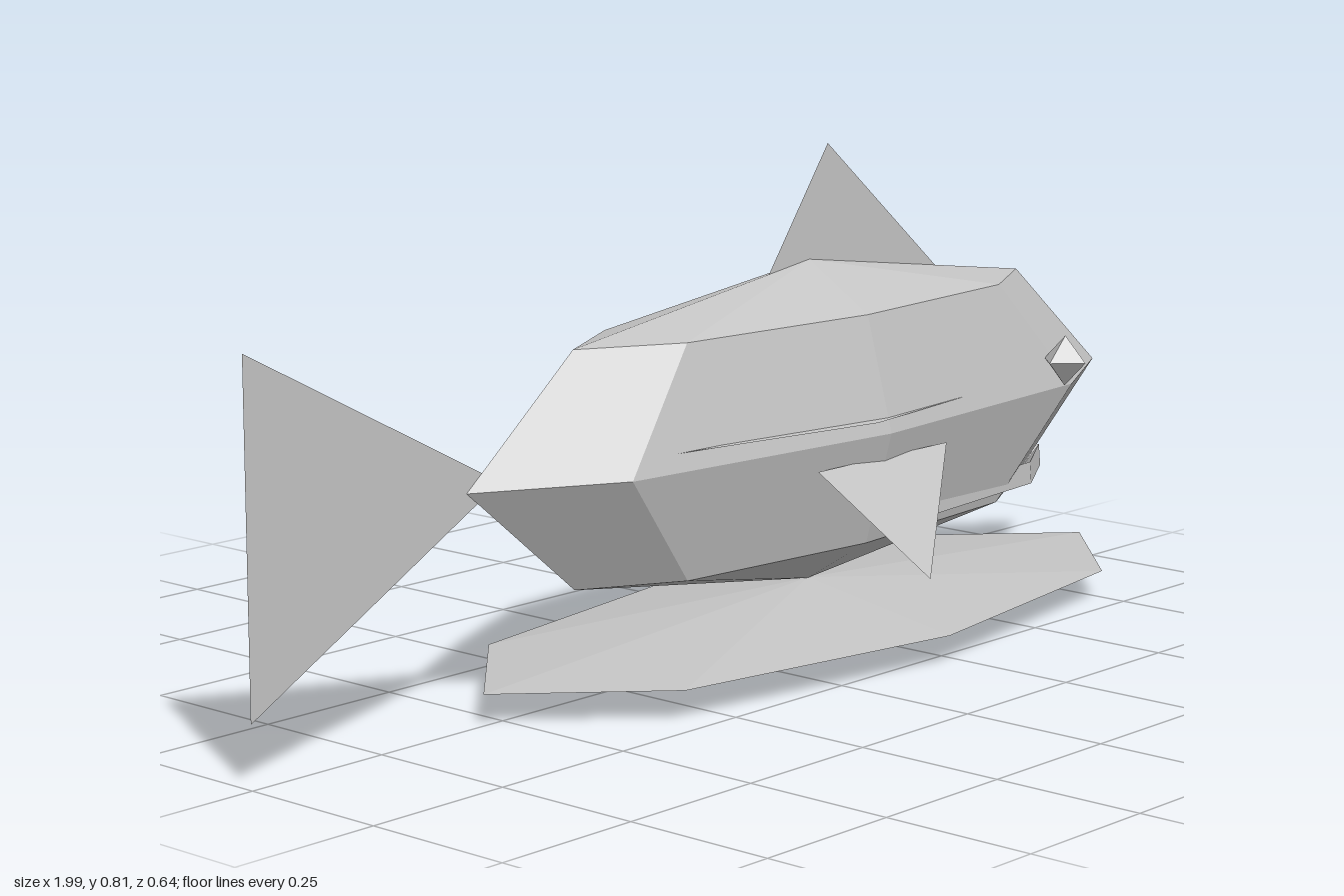
import * as THREE from 'three';

const grey = new THREE.MeshStandardMaterial({ color: 0xc4c4c4, flatShading: true, side: THREE.DoubleSide });
grey.name = 'plain grey';

export function createModel() {
  const group = new THREE.Group();
  group.name = 'fish';

  const add = (name, geometry) => {
    const mesh = new THREE.Mesh(geometry, grey);
    mesh.name = name;
    group.add(mesh);
    return mesh;
  };

  // Faceted ellipsoid
  const ellipsoid = (name, [x, y, z], [rx, ry, rz], around, rows) => {
    const mesh = add(name, new THREE.SphereGeometry(1, around, rows).scale(rx, ry, rz));
    mesh.position.set(x, y, z);
  };

  // Flat single-triangle fin
  const triangle = (name, ...corners) => {
    const g = new THREE.BufferGeometry();
    g.setAttribute('position', new THREE.Float32BufferAttribute(corners.flat(), 3));
    g.computeVertexNormals();
    add(name, g);
  };

  // Body and the flat dish beneath it
  ellipsoid('body', [0.21, 0.363, 0], [0.78, 0.265, 0.175], 8, 4);
  ellipsoid('dish', [0.21, 0.05, 0], [0.75, 0.049, 0.298], 8, 2);

  // Tail and back fin on the centre plane
  triangle('tailFin', [-1, 0.63, 0], [-1, 0.098, 0], [-0.5, 0.37, 0]);
  triangle('backFin', [0.255, 0.813, 0], [0.05, 0.53, 0], [0.6, 0.53, 0]);

  // Paired eyes, side fins and side ridges
  for (const s of [1, -1]) {
    const side = s > 0 ? 'front' : 'back';
    ellipsoid(side + 'Eye', [0.7, 0.415, s * 0.154], [0.043, 0.043, 0.043], 4, 2);
    const fin = [[0.05, 0.322, s * 0.157], [0.132, 0.16, s * 0.32], [0.375, 0.322, s * 0.157]];
    triangle(side + 'SideFin', ...(s > 0 ? fin : fin.reverse()));
    const ridge = [[-0.25, 0.393, s * 0.131], [0.17, 0.387, s * 0.181], [0.43, 0.389, s * 0.148]];
    triangle(side + 'SideRidge', ...(s > 0 ? ridge : ridge.reverse()));
  }

  // Mouth: a three-sided bar swept round half an ellipse
  const section = [[1, 0.192], [0.99, 0.23], [0.86, 0.186]];
  const positions = [];
  const index = [];
  const steps = 4;
  for (let i = 0; i <= steps; i++) {
    const a = (i / steps - 0.5) * Math.PI;
    for (const [k, y] of section) positions.push(0.37 + 0.47 * k * Math.cos(a), y, 0.12 * k * Math.sin(a));
    if (i === steps) continue;
    for (let j = 0; j < 3; j++) {
      const p = i * 3 + j, q = i * 3 + (j + 1) % 3;
      index.push(p, q, p + 3, q, q + 3, p + 3);
    }
  }
  const mouth = new THREE.BufferGeometry();
  mouth.setAttribute('position', new THREE.Float32BufferAttribute(positions, 3));
  mouth.setIndex(index);
  mouth.computeVertexNormals();
  add('mouth', mouth);

  return group;
}
